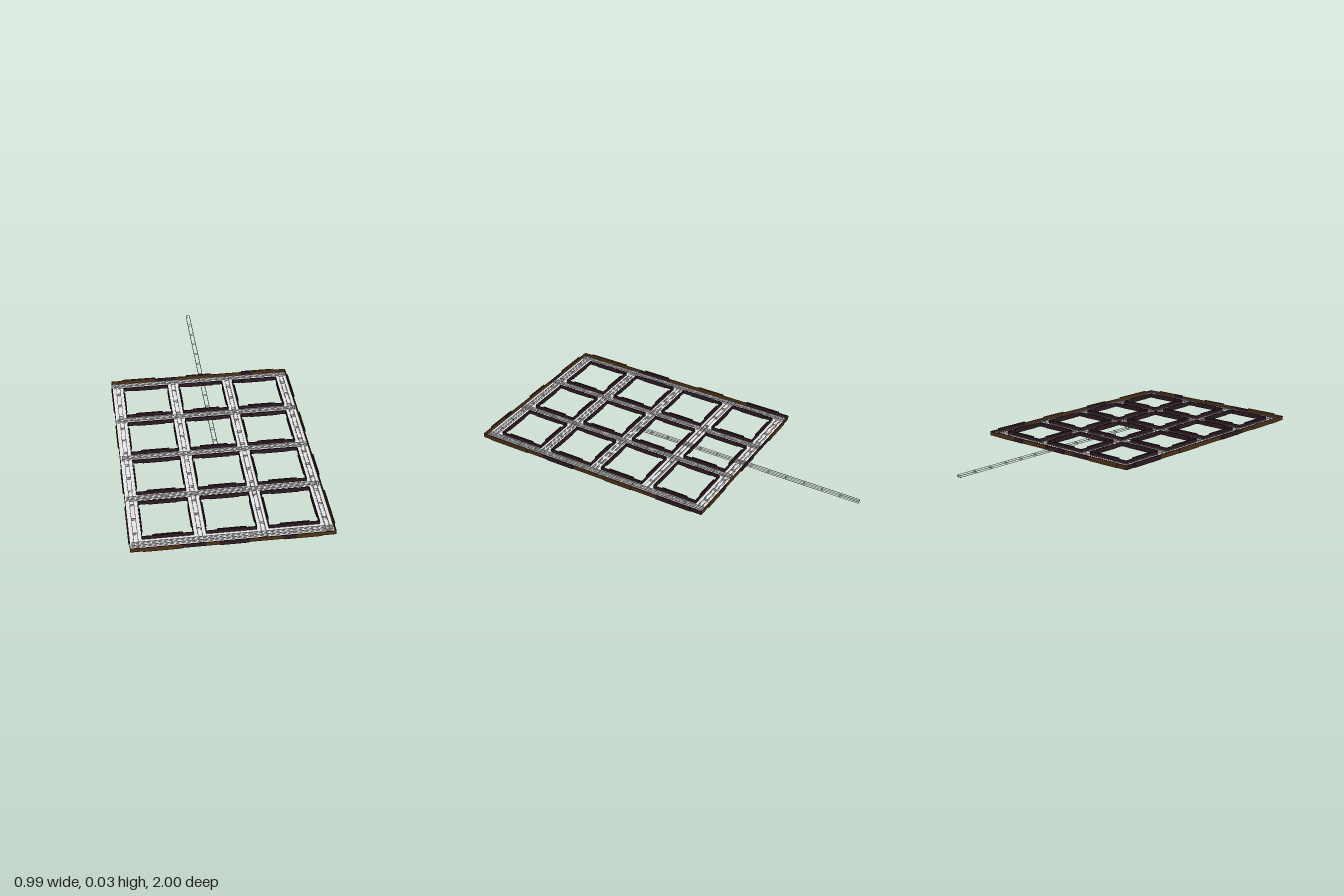
import * as THREE from 'three';
import { mergeGeometries } from 'three/addons/utils/BufferGeometryUtils.js';

const mat = (name, color) => new THREE.MeshStandardMaterial({ name, color });

// Extents of the grid of corridors and of the openings between them
const X0 = -0.488, X1 = 0.489, Z0 = -0.36, Z1 = 0.99;
const OPEN_X = [[-0.427, -0.183], [-0.121, 0.121], [0.18, 0.425]];
const OPEN_Z = [[-0.292, -0.045], [0.025, 0.274], [0.341, 0.591], [0.661, 0.912]];
const LANES_X = [-0.457, -0.152, 0.151, 0.457];
const LANES_Z = [-0.327, -0.01, 0.308, 0.626, 0.952];
const FLOOR = 0.003;

function box(w, h, d, x, y, z) {
  return new THREE.BoxGeometry(w, h, d).translate(x, y, z);
}

function rectPath(PathType, x0, x1, z0, z1) {
  return new PathType([[x0, z0], [x1, z0], [x1, z1], [x0, z1]].map(p => new THREE.Vector2(...p)));
}

// Box-frame truss along z, from a to b: four thin rods and square hoops
function truss(a, b) {
  const parts = [], half = 0.0105, low = 0.006, high = 0.015, rod = 0.002;
  const mid = (a + b) / 2, len = b - a;
  for (const x of [-half, half])
    for (const y of [low, high]) parts.push(box(rod, rod, len, x, y, mid));
  const count = Math.max(2, Math.round(len / 0.1));
  for (let i = 0; i <= count; i++) {
    const z = a + len * i / count;
    for (const x of [-half, half]) parts.push(box(rod, high - low, rod, x, (high + low) / 2, z));
    for (const y of [low, high]) parts.push(box(2 * half, rod, rod, 0, y, z));
  }
  return mergeGeometries(parts);
}

export function createModel() {
  const model = new THREE.Group();
  const floorGrey = mat('floorGrey', 0xe6e6e6);
  const trussGrey = mat('trussGrey', 0xdadada);
  const woodBrown = mat('woodBrown', 0x4e3216);
  const darkPlum = mat('darkPlum', 0x2d1a22);

  const add = (name, geometry, material) => {
    const mesh = new THREE.Mesh(geometry, material);
    mesh.name = name;
    model.add(mesh);
  };

  // Floor slab with twelve openings
  const outline = rectPath(THREE.Shape, X0, X1, Z0, Z1);
  for (const [a, b] of OPEN_X)
    for (const [c, d] of OPEN_Z) outline.holes.push(rectPath(THREE.Path, a, b, c, d));
  const slab = new THREE.ExtrudeGeometry(outline, { depth: FLOOR, bevelEnabled: false });
  add('floor', slab.rotateX(Math.PI / 2).translate(0, FLOOR, 0), floorGrey);

  // Trusses running along the corridors
  const frames = [];
  for (const x of LANES_X) frames.push(truss(Z0 + 0.01, Z1 - 0.01).translate(x, 0, 0));
  for (const z of LANES_Z)
    frames.push(truss(X0 + 0.01, X1 - 0.01).rotateY(Math.PI / 2).translate(0, 0, z));
  add('corridorTrusses', mergeGeometries(frames), trussGrey);

  // Long truss that runs out past the back edge
  add('longTruss', truss(-0.999, 0.32).translate(0.012, 0, 0), trussGrey);

  // Walls: low sheets with taller panels set slightly outward
  const brown = [], plum = [];
  function wall(list, alongX, from, to, at, height) {
    const len = to - from, mid = (from + to) / 2, t = 0.003;
    list.push(alongX ? box(len, height, t, mid, height / 2, at)
      : box(t, height, len, at, height / 2, mid));
  }
  const LOW = 0.022, TALL = 0.026, STEP = 0.004;

  // Outer walls: low stretches change colour at the listed stops
  const stopsX = [X0, -0.25, -0.13, 0.24, 0.3, X1];
  const stopsZ = [Z0, -0.1, 0.4, 0.6, Z1];
  const panelsX = [[-0.43, -0.245, brown], [-0.07, 0.07, plum], [0.24, 0.3, plum], [0.3, 0.42, brown]];
  const panelsZ = [[-0.3, -0.1, plum], [0.05, 0.21, brown], [0.41, 0.57, plum], [0.7, 0.94, brown]];
  for (const [alongX, at, out, stops, panels, first, second] of [
    [true, Z1, 1, stopsX, panelsX, brown, plum], [true, Z0, -1, stopsX, panelsX, brown, plum],
    [false, X1, 1, stopsZ, panelsZ, plum, brown], [false, X0, -1, stopsZ, panelsZ, plum, brown]]) {
    for (let i = 0; i < stops.length - 1; i++)
      wall(i % 2 ? second : first, alongX, stops[i], stops[i + 1], at, LOW);
    for (const [p, q, list] of panels) wall(list, alongX, p, q, at + out * STEP, TALL);
  }

  // Dark walls around each opening
  for (const [a, b] of OPEN_X) for (const [c, d] of OPEN_Z) {
    const inset = 0.05;
    for (const [z, s] of [[c, 1], [d, -1]]) {
      wall(plum, true, a, b, z, LOW);
      wall(plum, true, a + inset, b - inset, z + s * STEP, TALL);
    }
    for (const [x, s] of [[a, 1], [b, -1]]) {
      wall(plum, false, c, d, x, LOW);
      wall(plum, false, c + inset, d - inset, x + s * STEP, TALL);
    }
  }
  add('brownWalls', mergeGeometries(brown), woodBrown);
  add('darkWalls', mergeGeometries(plum), darkPlum);

  return model;
}
